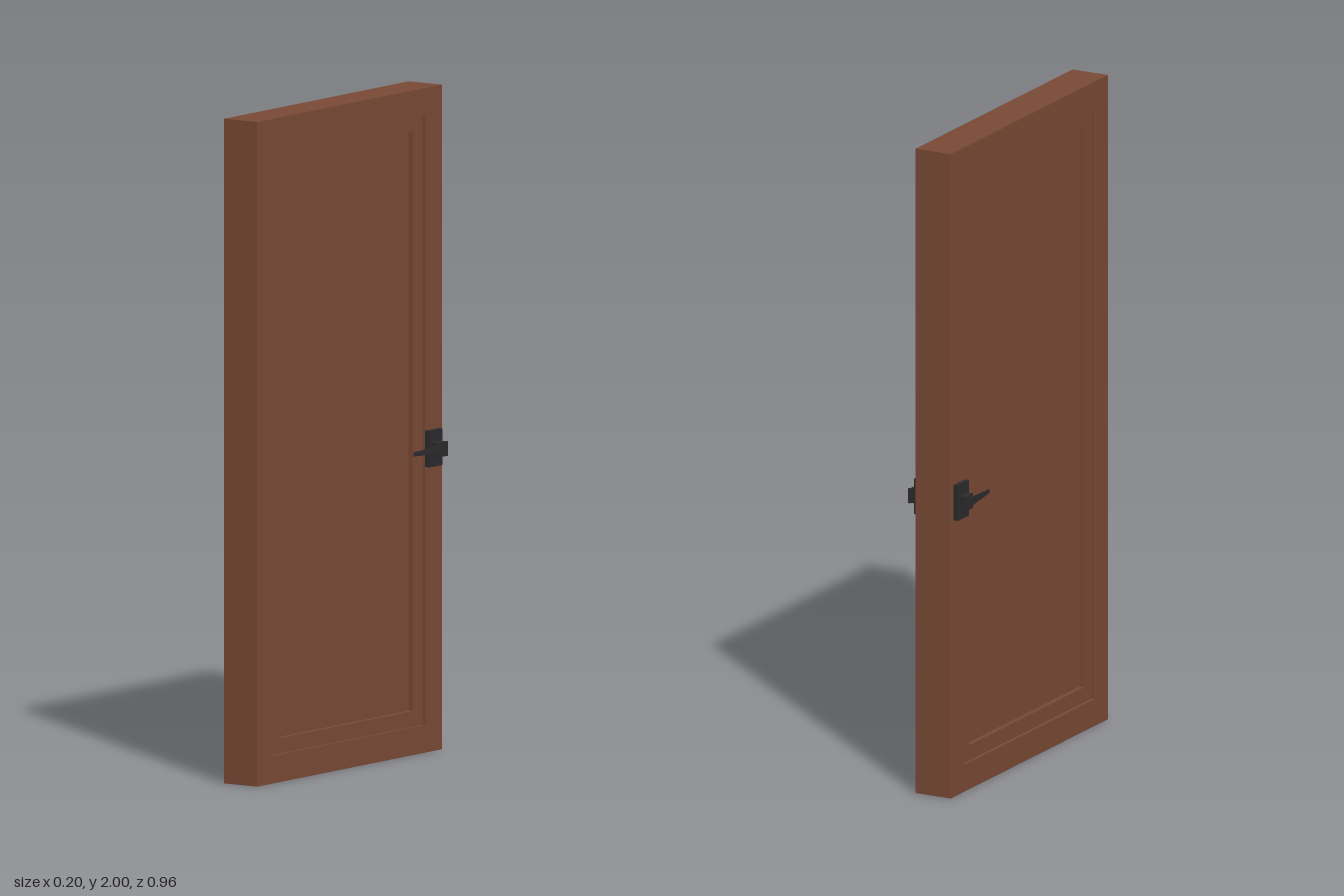
import * as THREE from 'three';

const wood = new THREE.MeshStandardMaterial({ color: 0x7a4a35 });
wood.name = 'brown wood';
const metal = new THREE.MeshStandardMaterial({ color: 0x2d2b2d });
metal.name = 'dark metal';

// Rectangles in the door plane: [zMin, zMax, yMin, yMax]
const OUTER = [-0.48, 0.48, 0, 2];
const STEP = [-0.395, 0.4, 0.083, 1.92];
const PANEL = [-0.345, 0.355, 0.13, 1.875];

function trace(path, [z0, z1, y0, y1]) {
  // shape x is -z, so that a quarter turn about y lays it in the door plane
  path.moveTo(-z0, y0);
  path.lineTo(-z0, y1);
  path.lineTo(-z1, y1);
  path.lineTo(-z1, y0);
  path.closePath();
  return path;
}

// Slab centred on x = 0, optionally with a rectangular opening
function slab(name, rect, hole, thickness) {
  const shape = trace(new THREE.Shape(), rect);
  if (hole) shape.holes.push(trace(new THREE.Path(), hole));
  const geo = new THREE.ExtrudeGeometry(shape, { depth: thickness, bevelEnabled: false });
  geo.translate(0, 0, -thickness / 2);
  geo.rotateY(Math.PI / 2);
  const mesh = new THREE.Mesh(geo, wood);
  mesh.name = name;
  return mesh;
}

function block(name, size, position) {
  const mesh = new THREE.Mesh(new THREE.BoxGeometry(...size), metal);
  mesh.position.set(...position);
  mesh.name = name;
  return mesh;
}

// Tapered lever: sections of [z, centre x, half thickness, half height]
function lever() {
  const sections = [
    [-0.455, 0.0965, 0.0025, 0.023],
    [-0.42, 0.095, 0.0025, 0.016],
    [-0.39, 0.0935, 0.0025, 0.011],
    [-0.295, 0.087, 0.0015, 0.006],
  ];
  const n = sections.length - 1;
  const geo = new THREE.BoxGeometry(2, 2, n, 1, 1, n);
  const pos = geo.attributes.position;
  for (let i = 0; i < pos.count; i++) {
    const [z, x, hx, hy] = sections[Math.round(pos.getZ(i) + n / 2)];
    pos.setXYZ(i, x + pos.getX(i) * hx, 0.911 + pos.getY(i) * hy, z);
  }
  geo.computeVertexNormals();
  const mesh = new THREE.Mesh(geo, metal);
  mesh.name = 'lever';
  return mesh;
}

function handle(side) {
  const group = new THREE.Group();
  group.name = side > 0 ? 'leftHandle' : 'rightHandle';
  const s = side;
  group.add(
    block('backPlate', [0.017, 0.11, 0.067], [s * 0.0665, 0.914, -0.428]),
    block('neck', [0.021, 0.045, 0.045], [s * 0.0845, 0.911, -0.428]),
  );
  const arm = lever();
  arm.scale.x = s;
  group.add(arm);
  return group;
}

export function createModel() {
  const door = new THREE.Group();
  door.name = 'door';
  // Frame, stepped moulding and sunken panel
  door.add(
    slab('frame', OUTER, STEP, 0.12),
    slab('moulding', STEP, PANEL, 0.098),
    slab('panel', PANEL, null, 0.066),
  );
  // A handle on each face
  for (const side of [1, -1]) door.add(handle(side));
  return door;
}
